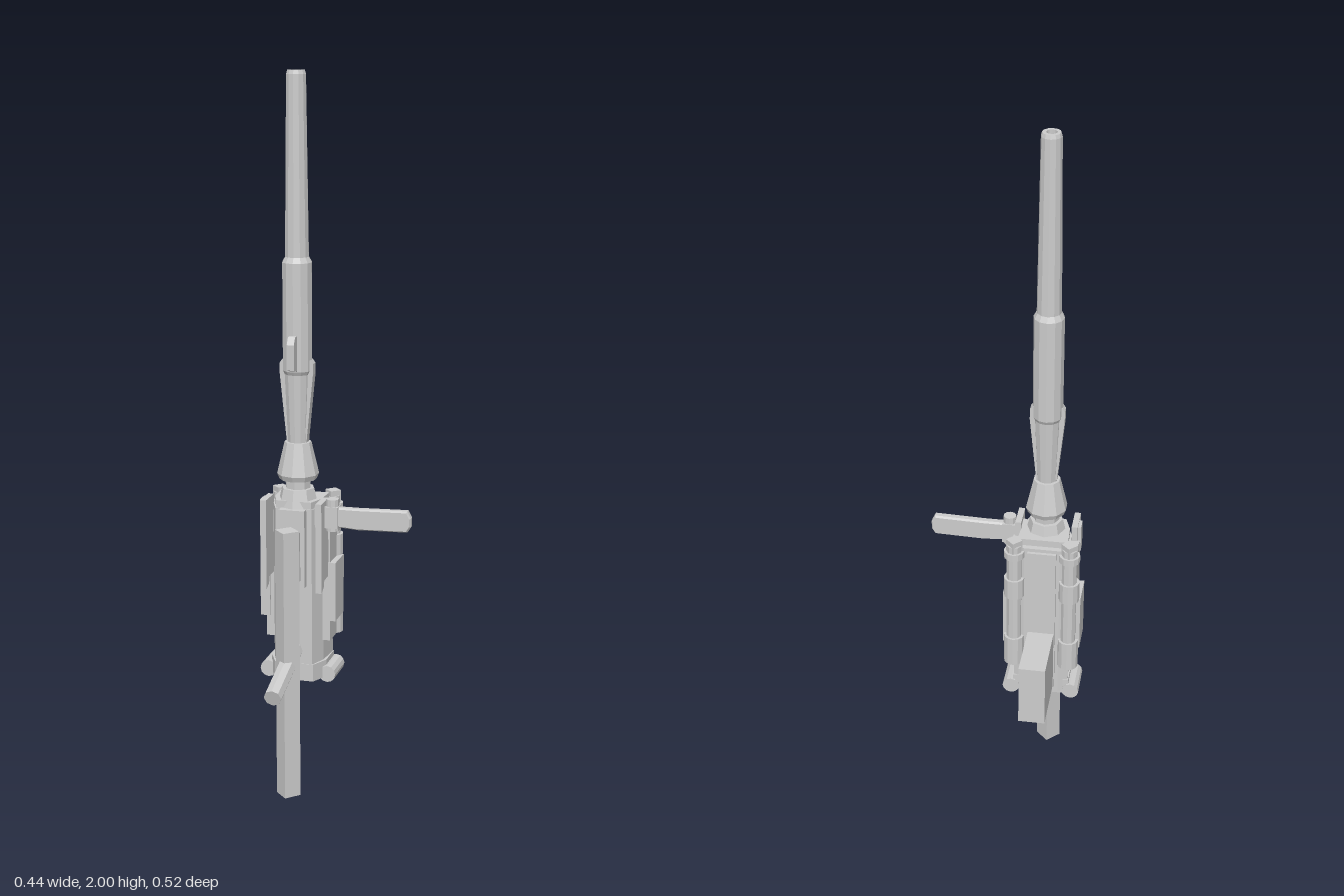
import * as THREE from 'three';

const CX = -0.11; // main axis
const mat = new THREE.MeshStandardMaterial({ color: 0xcccccc, flatShading: true, side: THREE.DoubleSide });

export function createModel() {
  const root = new THREE.Group();
  const gun = new THREE.Group();
  gun.name = 'mainAssembly';
  gun.position.x = CX;
  root.add(gun);

  const add = (name, geo, x = 0, y = 0, z = 0, parent = gun) => {
    const m = new THREE.Mesh(geo, mat);
    m.name = name;
    m.position.set(x, y, z);
    parent.add(m);
    return m;
  };
  // box given by its min and max corners
  const box = (name, x0, x1, y0, y1, z0, z1) =>
    add(name, new THREE.BoxGeometry(x1 - x0, y1 - y0, z1 - z0), (x0 + x1) / 2, (y0 + y1) / 2, (z0 + z1) / 2);
  const cyl = (name, r0, r1, y0, y1, x, z, n = 10) =>
    add(name, new THREE.CylinderGeometry(r1, r0, y1 - y0, n), x, (y0 + y1) / 2, z);
  const shapeOf = pts => new THREE.Shape(pts.map(p => new THREE.Vector2(p[0], p[1])));
  // vertical prism from an x, z outline
  const prism = (name, pts, y0, y1) => {
    const g = new THREE.ExtrudeGeometry(shapeOf(pts.map(([x, z]) => [x, -z])), { depth: y1 - y0, bevelEnabled: false });
    g.rotateX(-Math.PI / 2);
    return add(name, g, 0, y0, 0);
  };
  // plate from a z, y outline, centred on x
  const sidePlate = (name, pts, x, width) => {
    const g = new THREE.ExtrudeGeometry(shapeOf(pts.map(([z, y]) => [-z, y])), { depth: width, bevelEnabled: false });
    g.translate(0, 0, -width / 2);
    g.rotateY(Math.PI / 2);
    return add(name, g, x, 0, 0);
  };

  // Barrel with hollow muzzle
  const profile = [[0.001, 1.93], [0.014, 1.93], [0.014, 2], [0.024, 2], [0.027, 1.99], [0.033, 1.51],
    [0.041, 1.495], [0.041, 1.2], [0.036, 1.19], [0.028, 1.0], [0.028, 0.95]];
  add('barrel', new THREE.LatheGeometry(profile.map(p => new THREE.Vector2(...p)).reverse(), 12));

  // Side ribs below the barrel sleeve
  const ribs = new THREE.ExtrudeGeometry(shapeOf([[-0.028, 1.0], [0.028, 1.0], [0.034, 1.06], [0.047, 1.19],
    [0.047, 1.22], [0.04, 1.23], [-0.04, 1.23], [-0.047, 1.22], [-0.047, 1.19], [-0.034, 1.06]]),
  { depth: 0.026, bevelEnabled: false });
  add('barrelRibs', ribs, 0, 0, -0.013);

  sidePlate('frontSight', [[0.03, 1.2], [0.065, 1.21], [0.068, 1.28], [0.055, 1.3], [0.03, 1.3]], 0, 0.02);

  // Collar, neck and receiver top
  cyl('collar', 0.058, 0.037, 0.91, 1.0, 0, 0, 10);
  cyl('collarLip', 0.052, 0.058, 0.895, 0.91, 0, 0, 10);
  cyl('neck', 0.036, 0.036, 0.82, 0.9, 0, 0, 8);
  cyl('neckBase', 0.058, 0.046, 0.82, 0.87, 0, 0, 8);

  // Receiver: narrow front, wide back
  prism('receiver', [[-0.052, 0.048], [0.052, 0.048], [0.072, 0.0], [0.078, -0.075], [0.05, -0.085],
    [-0.05, -0.085], [-0.078, -0.075], [-0.072, 0.0]], 0.33, 0.82);
  prism('receiverFoot', [[-0.055, 0.05], [0.055, 0.05], [0.08, 0.0], [0.08, -0.08],
    [-0.08, -0.08], [-0.08, 0.0]], 0.32, 0.37);
  prism('receiverCap', [[-0.05, 0.046], [0.05, 0.046], [0.066, 0.0], [0.07, -0.07],
    [-0.07, -0.07], [-0.066, 0.0]], 0.82, 0.84);
  box('backRidge', -0.04, 0.04, 0.35, 0.81, -0.094, -0.08);
  box('frontGuide', -0.037, 0.037, 0.6, 0.82, 0.045, 0.068);
  box('guideBridge', -0.025, 0.025, 0.62, 0.76, 0.06, 0.09);
  box('lowerBridge', -0.015, 0.015, 0.36, 0.43, 0.04, 0.09);

  // Matching parts on both sides
  for (const s of [-1, 1]) {
    const x = s * 0.077;
    cyl('recoilTube', 0.021, 0.021, 0.43, 0.83, x, -0.085, 10);
    for (const [y0, y1] of [[0.43, 0.52], [0.66, 0.72], [0.79, 0.81]])
      cyl('tubeBand', 0.029, 0.029, y0, y1, x, -0.083, 12);
    cyl('tubeTip', 0.023, 0.023, 0.81, 0.845, x, -0.085, 4);
    box('sidePanel', x - 0.016, x + 0.016, 0.43, 0.8, -0.065, 0.005);
    const xo = s * 0.095;
    box('sidePad', xo - 0.014, xo + 0.014, 0.49, 0.66, -0.08, 0.01);
    sidePlate('sightPlate', [[0.0, 0.62], [0.045, 0.62], [0.052, 0.6], [0.075, 0.59], [0.075, 0.845], [0.0, 0.845]]
      .map(([z, y]) => [z, Math.max(y, 0.59)]), s * 0.079, 0.017);
    // foot roller lying along z
    const roller = add('footRoller', new THREE.CylinderGeometry(0.024, 0.024, 0.1, 12), s * 0.086, 0.333, -0.035);
    roller.rotation.x = Math.PI / 2;
  }
  box('sideBracket', -0.096, -0.076, 0.76, 0.84, 0.01, 0.046);

  // Rear box
  box('ammunitionBox', -0.037, 0.037, 0.355, 0.54, -0.263, -0.08);

  // Square rail turned on its corner
  const rail = add('rail', new THREE.BoxGeometry(0.049, 0.775, 0.049), 0, 0.3875, 0.109);
  rail.rotation.y = Math.PI / 4;

  // Sloping grip at the front
  const a = new THREE.Vector3(0, 0.41, 0.04), b = new THREE.Vector3(0, 0.343, 0.253);
  const grip = add('grip', new THREE.CylinderGeometry(0.025, 0.025, a.distanceTo(b), 8));
  grip.position.copy(a).lerp(b, 0.5);
  grip.quaternion.setFromUnitVectors(new THREE.Vector3(0, 1, 0), b.clone().sub(a).normalize());

  // Crank handle on the left side
  cyl('handlePivot', 0.018, 0.018, 0.76, 0.85, 0.106, 0.025, 10);
  box('handleMount', 0.06, 0.125, 0.77, 0.83, 0.006, 0.044);
  const arm = new THREE.ExtrudeGeometry(shapeOf([[0.12, 0.772], [0.18, 0.768], [0.318, 0.772], [0.328, 0.788],
    [0.328, 0.812], [0.318, 0.832], [0.18, 0.828], [0.12, 0.828]]),
  { depth: 0.014, bevelEnabled: true, bevelThickness: 0.006, bevelSize: 0.004, bevelOffset: -0.004, bevelSegments: 1 });
  add('handle', arm, 0, 0, 0.018);

  return root;
}
